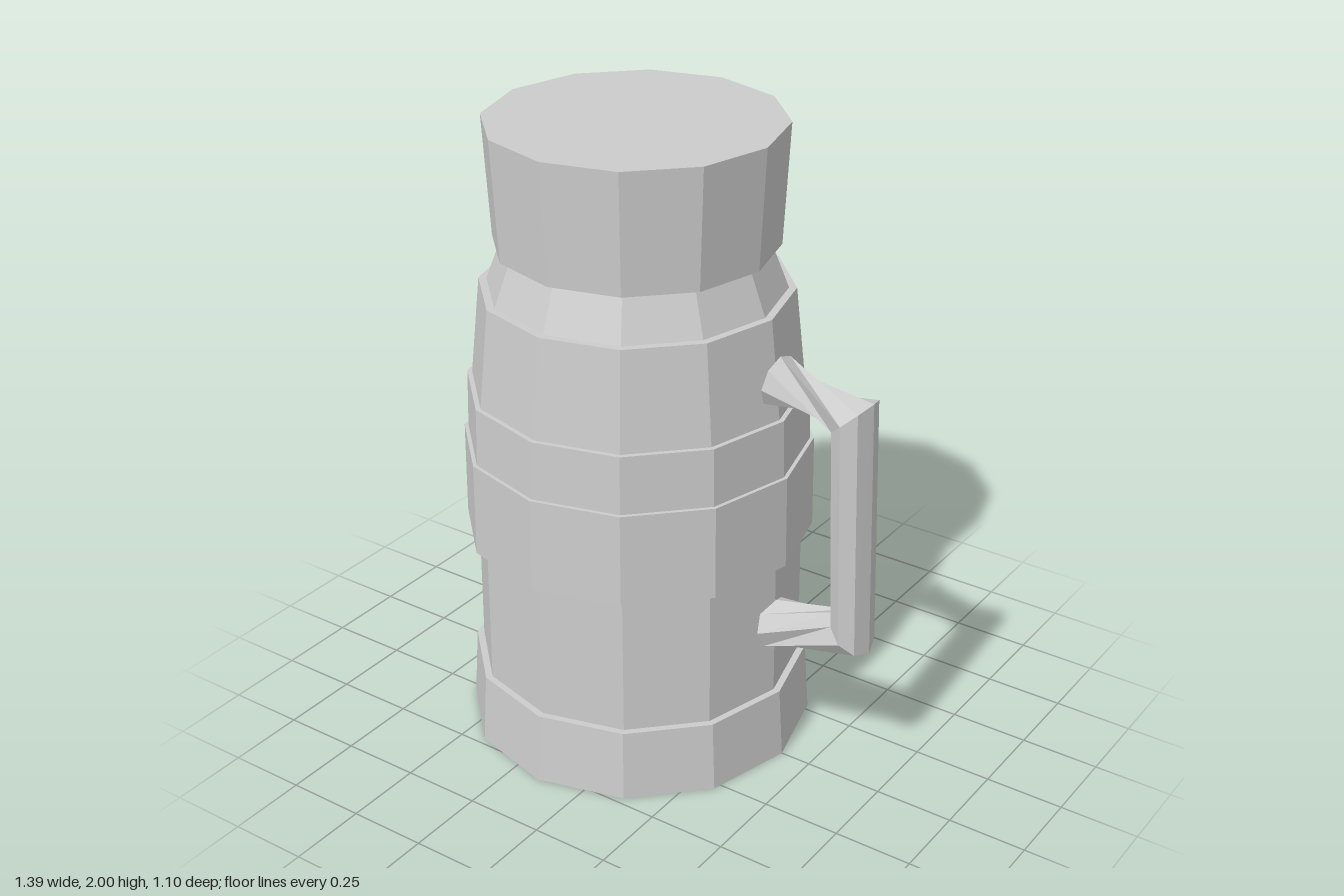
import * as THREE from 'three';

const grey = new THREE.MeshStandardMaterial({ color: 0xcccccc, flatShading: true });
grey.name = 'plain grey';

function addPart(group, name, geometry) {
  const flat = geometry.index ? geometry.toNonIndexed() : geometry;
  flat.computeVertexNormals();
  const mesh = new THREE.Mesh(flat, grey);
  mesh.name = name;
  group.add(mesh);
  return mesh;
}

// Eight-sided tube lofted through rings, closed at both ends
function loft(rings, sides = 8) {
  const pos = [], idx = [];
  for (const { c, u, width, turn } of rings) {
    for (let k = 0; k < sides; k++) {
      const t = (k / sides) * Math.PI * 2 + turn;
      pos.push(c[0] + u[0] * Math.cos(t), c[1] + u[1] * Math.cos(t), width * Math.sin(t));
    }
  }
  for (let r = 0; r < rings.length - 1; r++) {
    for (let k = 0; k < sides; k++) {
      const n = (k + 1) % sides;
      const a = r * sides + k, a2 = r * sides + n;
      idx.push(a, a2, a2 + sides, a, a2 + sides, a + sides);
    }
  }
  const last = (rings.length - 1) * sides;
  for (let k = 1; k < sides - 1; k++) {
    idx.push(0, k + 1, k, last, last + k, last + k + 1);
  }
  const g = new THREE.BufferGeometry();
  g.setAttribute('position', new THREE.Float32BufferAttribute(pos, 3));
  g.setIndex(idx);
  return g;
}

export function createModel() {
  const model = new THREE.Group();
  model.name = 'tankard';

  // Twelve-sided stepped body, with base, bands, neck and lid
  const profile = [
    [0, 0], [0.55, 0], [0.535, 0.23], [0.513, 0.23], [0.51, 0.69],
    [0.545, 0.69], [0.542, 0.99], [0.53, 0.99], [0.525, 1.175],
    [0.51, 1.175], [0.477, 1.487], [0.453, 1.487], [0.4, 1.625],
    [0.43, 1.625], [0.45, 2], [0, 2],
  ].map(([r, y]) => new THREE.Vector2(r, y));
  addPart(model, 'body', new THREE.LatheGeometry(profile, 12)).position.x = -0.15;

  // Handle with quarter-twisted arms and a straight grip
  const q = Math.PI / 2;
  addPart(model, 'handle', loft([
    { c: [0.348, 1.302], u: [0.01, 0.078], width: 0.085, turn: 0 },
    { c: [0.612, 1.26], u: [0.06, 0.055], width: 0.085, turn: q },
    { c: [0.635, 0.54], u: [0.06, -0.05], width: 0.085, turn: q },
    { c: [0.352, 0.476], u: [0.01, -0.078], width: 0.085, turn: 0 },
  ]));

  return model;
}
